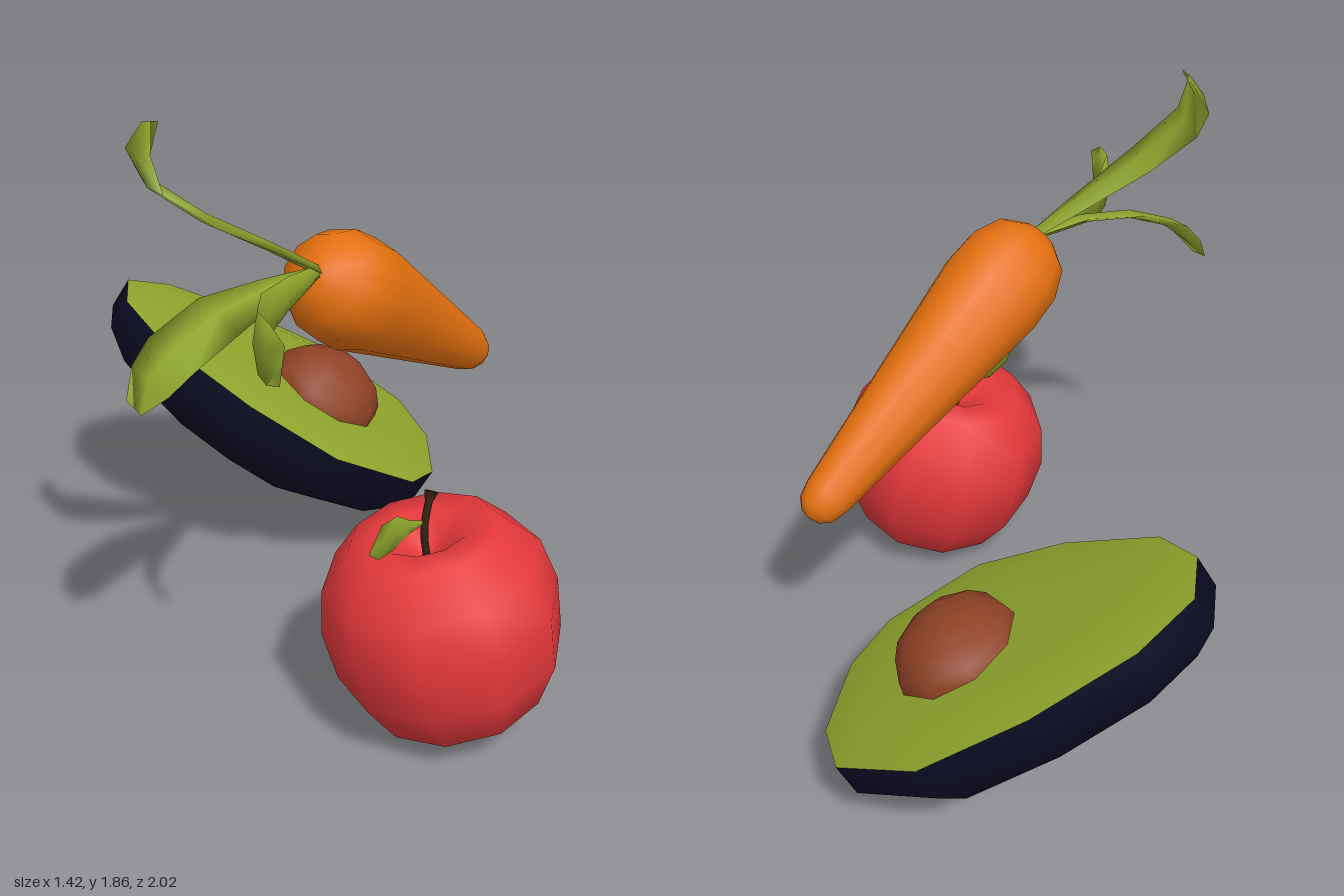
import * as THREE from 'three';
import { mergeVertices } from 'three/addons/utils/BufferGeometryUtils.js';

const V = (x, y, z) => new THREE.Vector3(x, y, z);
const UP = V(0, 1, 0);

function material(name, color, side = THREE.FrontSide) {
  const m = new THREE.MeshStandardMaterial({ color, side });
  m.name = name;
  return m;
}

function part(name, geometry, mat) {
  const mesh = new THREE.Mesh(geometry, mat);
  mesh.name = name;
  return mesh;
}

// Smooth surface through closed rings of points
function loft(rings) {
  const n = rings[0].length, pos = [], idx = [];
  rings.forEach(r => r.forEach(p => pos.push(p.x, p.y, p.z)));
  for (let i = 0; i < rings.length - 1; i++) {
    for (let j = 0; j < n; j++) {
      const a = i * n + j, b = i * n + (j + 1) % n;
      idx.push(a, b, a + n, b, b + n, a + n);
    }
  }
  let g = new THREE.BufferGeometry();
  g.setAttribute('position', new THREE.Float32BufferAttribute(pos, 3));
  g.setIndex(idx);
  g = mergeVertices(g, 1e-5);
  g.computeVertexNormals();
  return g;
}

// Leaf blade: path points with half widths, widened along one direction
function leaf(path, halfWidths, across, thickness) {
  const pts = path.map(p => V(...p));
  const last = pts.length - 1;
  return loft(pts.map((p, i) => {
    const t = pts[Math.min(i + 1, last)].clone().sub(pts[Math.max(i - 1, 0)]).normalize();
    const w = V(...across);
    w.addScaledVector(t, -w.dot(t)).normalize();
    const n = t.clone().cross(w);
    const h = halfWidths[i], th = i === last ? 0 : thickness;
    return [[h, 0], [0, th], [-h, 0], [0, -th]].map(([a, b]) =>
      p.clone().addScaledVector(w, a).addScaledVector(n, b));
  }));
}

const lathe = (profile, sides) =>
  new THREE.LatheGeometry(profile.map(p => new THREE.Vector2(...p)), sides);

export function createModel() {
  const model = new THREE.Group();
  model.name = 'fruitAndVegetables';
  const red = material('appleRed', 0xe5383b);
  const orange = material('carrotOrange', 0xe5700f);
  const green = material('leafGreen', 0x8fa52d, THREE.DoubleSide);
  const navy = material('skinNavy', 0x0c0c24);
  const brown = material('seedBrown', 0x904226);
  const dark = material('stemBrown', 0x33200f);

  // Apple, leaning slightly
  const apple = new THREE.Group();
  apple.name = 'apple';
  const body = part('appleBody', lathe([
    [0, -0.27], [0.08, -0.29], [0.14, -0.325], [0.26, -0.24], [0.335, -0.1], [0.35, 0.06],
    [0.32, 0.2], [0.22, 0.31], [0.13, 0.315], [0.06, 0.26], [0, 0.22]], 10), red);
  body.position.set(0.15, 0.346, 0.65);
  body.quaternion.setFromUnitVectors(UP, V(-0.2, 1, -0.08).normalize());
  const stemPath = new THREE.CatmullRomCurve3([
    V(0.1, 0.55, 0.635), V(0.09, 0.66, 0.625), V(0.115, 0.75, 0.605)]);
  const stem = part('appleStem', new THREE.TubeGeometry(stemPath, 5, 0.011, 6), dark);
  const knob = part('stemKnob', new THREE.CylinderGeometry(0.02, 0.013, 0.025, 6), dark);
  knob.position.set(0.117, 0.752, 0.604);
  knob.quaternion.setFromUnitVectors(UP, V(0.35, 0.9, -0.25).normalize());
  apple.add(body, stem, knob, part('appleLeaf', leaf(
    [[0.09, 0.68, 0.62], [0.04, 0.68, 0.63], [-0.02, 0.69, 0.66], [-0.09, 0.705, 0.71], [-0.16, 0.73, 0.79]],
    [0.006, 0.022, 0.052, 0.05, 0.004], [0, 1, 0], 0.004), green));
  model.add(apple);

  // Carrot root, blunt at both ends
  const carrot = new THREE.Group();
  carrot.name = 'carrot';
  const root = part('carrotRoot', lathe([
    [0, -0.955], [0.035, -0.947], [0.063, -0.92], [0.077, -0.87], [0.145, -0.3], [0.171, -0.08],
    [0.165, 0.03], [0.128, 0.115], [0.06, 0.16], [0, 0.17]], 12), orange);
  root.position.set(-0.01, 1.28, 0.27);
  root.quaternion.setFromUnitVectors(UP, V(-0.722, 0.527, 0.448).normalize());
  carrot.add(root);

  // Carrot leaves
  const tops = [
    ['upperLeaf', [[-0.11, 1.37, 0.34], [-0.25, 1.46, 0.345], [-0.45, 1.58, 0.36], [-0.59, 1.69, 0.36], [-0.62, 1.78, 0.355], [-0.575, 1.845, 0.33]],
      [0.025, 0.055, 0.09, 0.105, 0.1, 0.045], [0, 0, 1]],
    ['lowerLeaf', [[-0.11, 1.37, 0.34], [-0.28, 1.37, 0.41], [-0.45, 1.34, 0.46], [-0.6, 1.27, 0.5], [-0.66, 1.21, 0.505], [-0.705, 1.14, 0.5]],
      [0.02, 0.045, 0.085, 0.09, 0.08, 0.035], [0.2, -0.35, 0.9]],
    ['sideLeaf', [[-0.11, 1.37, 0.34], [-0.25, 1.365, 0.45], [-0.37, 1.355, 0.56], [-0.43, 1.35, 0.68], [-0.43, 1.345, 0.75], [-0.415, 1.335, 0.805]],
      [0.02, 0.05, 0.075, 0.09, 0.088, 0.06], [0, 1, 0]],
  ];
  for (const [name, path, widths, across] of tops) {
    carrot.add(part(name, leaf(path, widths, across, 0.013), green));
  }
  model.add(carrot);

  // Avocado half: rim outline (x, z) lying on a tilted plane
  const avocado = new THREE.Group();
  avocado.name = 'avocadoHalf';
  const planeY = (x, z) => 0.553 - 0.561 * x - 0.232 * z;
  const onPlane = ([x, z]) => V(x, planeY(x, z), z);
  const normal = V(0.561, 1, 0.232).normalize();
  const rim = [
    [0.17, -0.14], [0.46, -0.16], [0.6, -0.28], [0.71, -0.54], [0.7, -0.74], [0.5, -0.95],
    [0.2, -1], [-0.1, -0.98], [-0.28, -0.89], [-0.34, -0.72], [-0.29, -0.53], [-0.07, -0.29]].map(onPlane);
  const centre = onPlane([0.2, -0.57]);
  const ring = ([scale, lift]) => rim.map(p =>
    centre.clone().lerp(p, scale).addScaledVector(normal, lift));
  avocado.add(
    part('avocadoSkin', loft([[0, -0.31], [0.25, -0.305], [0.55, -0.28], [0.85, -0.2], [1, -0.11], [1, 0]].map(ring)), navy),
    part('avocadoFlesh', loft([[1, 0], [0.78, 0.025], [0.4, 0.027], [0, 0.027]].map(ring)), green));
  const seed = part('avocadoSeed', new THREE.SphereGeometry(0.207, 9, 8), brown);
  seed.scale.y = 0.82;
  seed.position.copy(onPlane([0.3, -0.55]));
  seed.quaternion.setFromUnitVectors(UP, normal);
  avocado.add(seed);
  model.add(avocado);

  return model;
}
